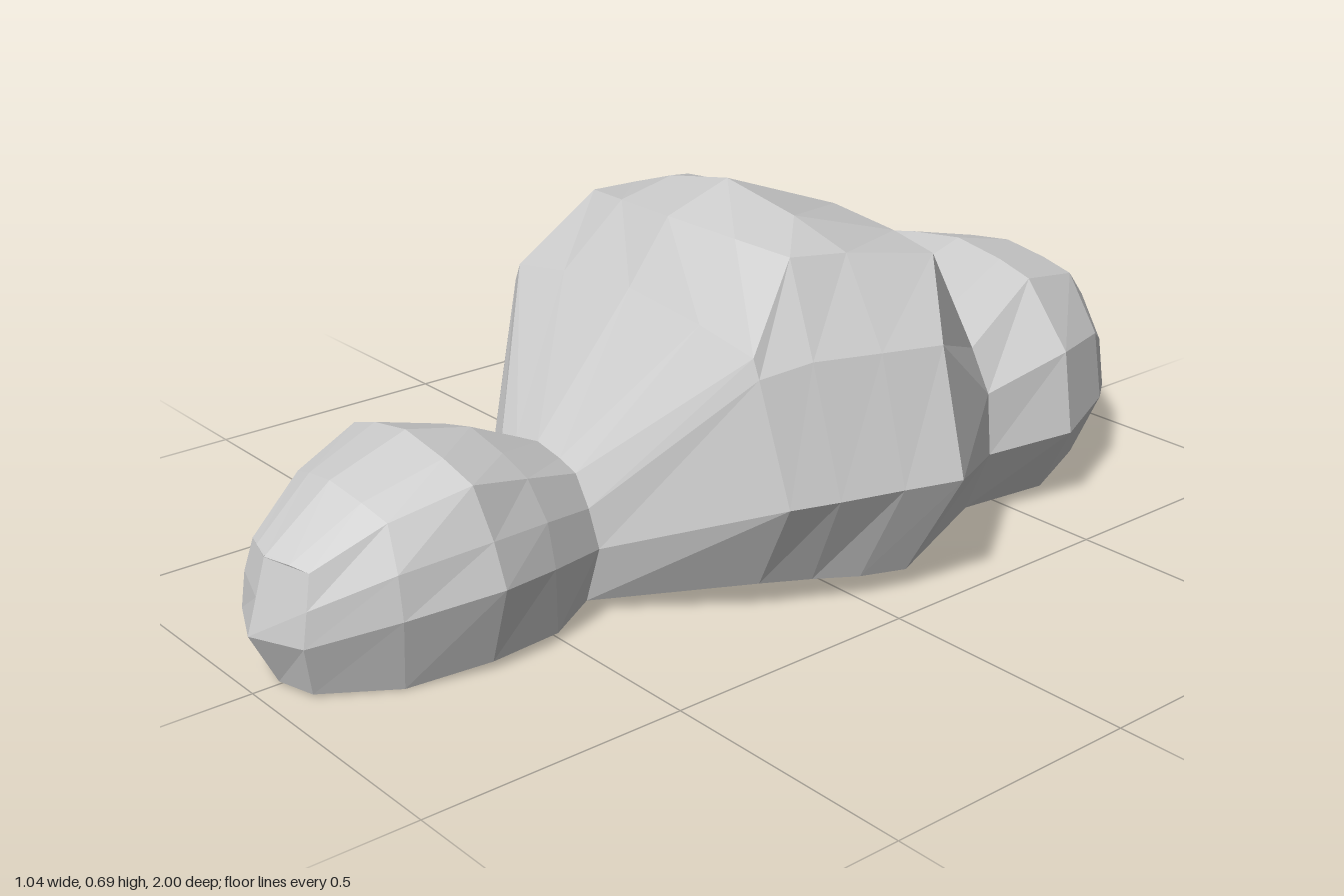
import * as THREE from 'three';

// Each half section lists [x, y, z] from the open underside up to the spine:
// bottom rim, side, flank, shoulder, spine. The other half is mirrored.
const neck = [[0.12, 0.02, 0.4], [0.16, 0.135, 0.4], [0.145, 0.21, 0.41], [0.11, 0.265, 0.41], [0, 0.29, 0.41]];
const waist = [[0.28, 0.02, -0.4], [0.345, 0.155, -0.39], [0.325, 0.27, -0.4], [0.27, 0.345, -0.41], [0, 0.4, -0.475]];

// The first section of the front lobe and the last of the rear lobe lie on
// the centre plane, which closes the shell there
const frontSections = [
  [[0, 0.005, 0.95], [0, 0.105, 1], [0, 0.17, 0.98], [0, 0.236, 0.96], [0, 0.238, 0.96]],
  [[0.075, 0.005, 0.93], [0.1, 0.105, 0.955], [0.1, 0.17, 0.945], [0.09, 0.23, 0.93], [0, 0.24, 0.955]],
  [[0.15, 0, 0.8], [0.19, 0.145, 0.82], [0.18, 0.225, 0.82], [0.14, 0.3, 0.81], [0, 0.335, 0.83]],
  [[0.19, 0.015, 0.65], [0.245, 0.17, 0.655], [0.22, 0.25, 0.66], [0.18, 0.34, 0.67], [0, 0.385, 0.68]],
  [[0.17, 0.01, 0.5], [0.21, 0.155, 0.53], [0.19, 0.235, 0.53], [0.15, 0.305, 0.54], [0, 0.355, 0.55]],
  neck,
];

const middleSections = [
  neck,
  [[0.32, 0.055, 0.17], [0.42, 0.235, 0.19], [0.35, 0.455, 0.2], [0.335, 0.49, 0.2], [0, 0.53, 0.2]],
  [[0.36, 0.05, 0.08], [0.45, 0.235, 0.1], [0.375, 0.47, 0.1], [0.275, 0.625, 0.065], [0, 0.645, 0.11]],
  [[0.4, 0.045, 0], [0.485, 0.235, -0.02], [0.41, 0.465, -0.03], [0.295, 0.615, -0.05], [0, 0.69, -0.03]],
  [[0.425, 0.04, -0.09], [0.52, 0.235, -0.13], [0.44, 0.46, -0.15], [0.34, 0.59, -0.22], [0, 0.59, -0.3]],
  waist,
];

const rearSections = [
  waist,
  [[0.31, 0.025, -0.58], [0.38, 0.16, -0.58], [0.34, 0.31, -0.6], [0.21, 0.42, -0.63], [0, 0.45, -0.65]],
  [[0.24, 0.03, -0.75], [0.3, 0.165, -0.76], [0.27, 0.29, -0.77], [0.17, 0.385, -0.8], [0, 0.415, -0.8]],
  [[0.17, 0.035, -0.84], [0.215, 0.14, -0.87], [0.2, 0.235, -0.87], [0.13, 0.31, -0.89], [0, 0.33, -0.9]],
  [[0.11, 0.035, -0.89], [0.165, 0.13, -0.925], [0.14, 0.215, -0.925], [0.09, 0.28, -0.925], [0, 0.3, -0.925]],
  [[0, 0.02, -0.93], [0, 0.13, -1], [0, 0.21, -0.965], [0, 0.285, -0.93], [0, 0.3, -0.925]],
];

// Open arch from the left rim over the spine to the right rim, with a crown
// point between each shoulder and the spine
function makeArch(section) {
  const [rim, side, flank, shoulder, spine] = section;
  const crown = shoulder.map((v, i) => (i === 0 ? v * 0.58 : v * 0.45 + spine[i] * 0.55));
  const half = [rim, side, flank, shoulder, crown];
  const mirrored = half.map(([x, y, z]) => [-x, y, z]).reverse();
  return [...half, spine, ...mirrored];
}

// Faceted shell over sections running front to back, open underneath
function makeLobe(name, sections) {
  const arches = sections.map(makeArch);
  const positions = [];
  for (let i = 0; i < arches.length - 1; i++) {
    const front = arches[i], back = arches[i + 1];
    for (let j = 0; j < front.length - 1; j++) {
      positions.push(...front[j], ...back[j], ...back[j + 1]);
      positions.push(...front[j], ...back[j + 1], ...front[j + 1]);
    }
  }
  const geometry = new THREE.BufferGeometry();
  geometry.setAttribute('position', new THREE.Float32BufferAttribute(positions, 3));
  geometry.computeVertexNormals();
  const material = new THREE.MeshStandardMaterial({
    color: 0xcccccc, flatShading: true, side: THREE.DoubleSide,
  });
  const mesh = new THREE.Mesh(geometry, material);
  mesh.name = name;
  return mesh;
}

export function createModel() {
  const model = new THREE.Group();
  model.name = 'threeLobedShell';
  model.add(
    makeLobe('frontLobe', frontSections),
    makeLobe('middleLobe', middleSections),
    makeLobe('rearLobe', rearSections),
  );
  return model;
}
